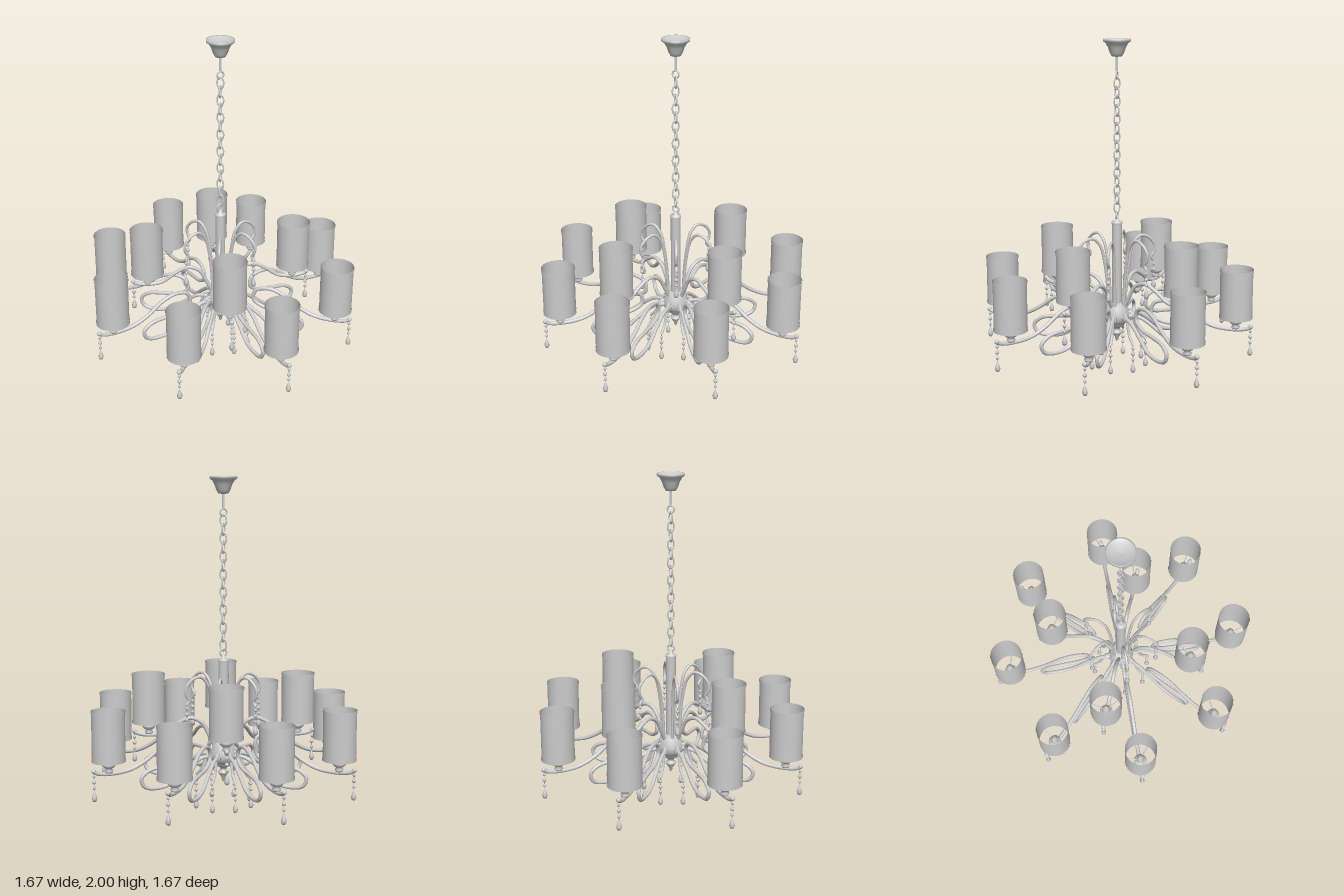
import * as THREE from 'three';

const solid = new THREE.MeshStandardMaterial({ color: 0xcccccc });
const thin = new THREE.MeshStandardMaterial({ color: 0xcccccc, side: THREE.DoubleSide });

function add(parent, name, geometry, x = 0, y = 0, z = 0, material = solid) {
  const mesh = new THREE.Mesh(geometry, material);
  mesh.name = name;
  mesh.position.set(x, y, z);
  parent.add(mesh);
  return mesh;
}

// points are [radius, height] pairs, listed from the bottom up
const lathe = (points, sides = 20) =>
  new THREE.LatheGeometry(points.map(p => new THREE.Vector2(p[0], p[1])), sides);

// round bar that follows [radius, height] points in the local x-y plane
function bar(points, radius, segments = 60) {
  const curve = new THREE.CatmullRomCurve3(points.map(p => new THREE.Vector3(p[0], p[1], 0)));
  return new THREE.TubeGeometry(curve, segments, radius, 8);
}

// repeats a part around the vertical axis
function ring(parent, name, count, startDegrees, build) {
  for (let i = 0; i < count; i++) {
    const group = new THREE.Group();
    group.name = name;
    group.rotation.y = -THREE.MathUtils.degToRad(startDegrees + i * 360 / count);
    build(group);
    parent.add(group);
  }
}

const beadGeometry = new THREE.SphereGeometry(0.012, 8, 6);
const wireGeometry = new THREE.CylinderGeometry(0.002, 0.002, 0.13, 5);
const dropGeometry = lathe([[0, 0], [0.011, 0.006], [0.016, 0.02], [0.012, 0.038], [0.004, 0.058], [0, 0.066]], 10);

// string of beads with a teardrop, 0.18 long
function pendant(parent, x, y) {
  add(parent, 'pendantWire', wireGeometry, x, y - 0.065);
  [0.025, 0.06, 0.095].forEach((d, i) => {
    const bead = add(parent, 'crystalBead', beadGeometry, x, y - d);
    if (i !== 1) bead.scale.set(0.75, 0.9, 0.75);
  });
  add(parent, 'crystalDrop', dropGeometry, x, y - 0.18);
}

const cupGeometry = lathe([[0, -0.035], [0.022, -0.033], [0.026, -0.022], [0.016, -0.01], [0.03, -0.002],
  [0.04, 0.01], [0.04, 0.022], [0.028, 0.034], [0.02, 0.036], [0.02, 0.1], [0, 0.102]]);
const shadeGeometry = new THREE.CylinderGeometry(0.098, 0.098, 0.3, 40, 1, true);
const bandGeometry = new THREE.CylinderGeometry(0.101, 0.101, 0.014, 40, 1, true);
const spokeGeometry = new THREE.CylinderGeometry(0.003, 0.003, 0.08, 6).rotateZ(Math.PI / 2).translate(0.058, 0, 0);

// cup, socket and open drum shade; y is the shade's bottom edge
function lamp(parent, x, y) {
  const group = new THREE.Group();
  group.name = 'lamp';
  group.position.set(x, y, 0);
  add(group, 'lampCup', cupGeometry, 0, -0.035);
  add(group, 'shade', shadeGeometry, 0, 0.15, 0, thin);
  for (const h of [0.007, 0.293]) add(group, 'shadeBand', bandGeometry, 0, h, 0, thin);
  for (let i = 0; i < 3; i++) {
    add(group, 'shadeSpoke', spokeGeometry, 0, 0.02).rotation.y = 0.35 + i * Math.PI * 2 / 3;
  }
  parent.add(group);
}

export function createModel() {
  const model = new THREE.Group();
  model.name = 'chandelier';

  // ceiling canopy and its stem
  add(model, 'canopy', lathe([[0, 1.895], [0.03, 1.9], [0.042, 1.92], [0.052, 1.95], [0.066, 1.975],
    [0.082, 1.987], [0.082, 2], [0.074, 2], [0.05, 1.985], [0, 1.98]], 32), 0, 0, 0, thin);
  add(model, 'canopyStem', new THREE.CylinderGeometry(0.008, 0.008, 0.09, 10), 0, 1.86);

  // chain of alternating oval links between two end rings
  const ringGeometry = new THREE.TorusGeometry(0.021, 0.005, 8, 20);
  add(model, 'topRing', ringGeometry, 0, 1.79);
  add(model, 'bottomRing', ringGeometry, 0, 0.95);
  const linkGeometry = new THREE.TorusGeometry(0.02, 0.0045, 8, 18).scale(1, 1.65, 1);
  const links = 15;
  for (let i = 0; i < links; i++) {
    const link = add(model, 'chainLink', linkGeometry, 0, 1.742 - i * (1.742 - 0.998) / (links - 1));
    link.rotation.y = i % 2 ? Math.PI / 4 : -Math.PI / 4;
  }

  // central column with cap
  add(model, 'column', lathe([[0.03, 0.38], [0.03, 0.895], [0.033, 0.897], [0.033, 0.91],
    [0.014, 0.915], [0.01, 0.935], [0, 0.94]], 24));

  // hub bowl and finial
  add(model, 'hub', lathe([[0, 0.265], [0.05, 0.268], [0.07, 0.285], [0.08, 0.31], [0.08, 0.34],
    [0.07, 0.355], [0.066, 0.385], [0.05, 0.4], [0, 0.402]], 28));
  add(model, 'finial', lathe([[0, 0.15], [0.008, 0.158], [0.012, 0.18], [0.03, 0.205], [0.034, 0.215],
    [0.02, 0.225], [0.02, 0.24], [0.045, 0.255], [0.05, 0.27]], 20));

  // eight long S-curved arms with the lower lamps
  const lowerArm = bar([[0.07, 0.32], [0.15, 0.31], [0.24, 0.25], [0.33, 0.18], [0.43, 0.158], [0.51, 0.175],
    [0.53, 0.225], [0.48, 0.27], [0.38, 0.287], [0.28, 0.3], [0.215, 0.345], [0.23, 0.41], [0.31, 0.433],
    [0.4, 0.405], [0.5, 0.335], [0.6, 0.29], [0.73, 0.278], [0.8, 0.288], [0.825, 0.302]], 0.012, 110);
  const collar = new THREE.CylinderGeometry(0.018, 0.018, 0.025, 12).rotateZ(Math.PI / 2);
  const hook = bar([[0.06, 0.345], [0.1, 0.335], [0.12, 0.285], [0.14, 0.225], [0.17, 0.19], [0.182, 0.178]], 0.009, 24);
  const tip = new THREE.SphereGeometry(0.014, 10, 8);
  ring(model, 'lowerArm', 8, 0, arm => {
    add(arm, 'armBar', lowerArm);
    add(arm, 'armCollar', collar, 0.09, 0.32);
    add(arm, 'armTip', tip, 0.822, 0.302);
    lamp(arm, 0.73, 0.355);
    pendant(arm, 0.82, 0.298);
    add(arm, 'hook', hook);
    pendant(arm, 0.18, 0.18);
  });

  // four shorter arms with the upper lamps
  const upperArm = bar([[0.05, 0.37], [0.085, 0.44], [0.13, 0.52], [0.2, 0.55], [0.28, 0.515],
    [0.36, 0.46], [0.45, 0.447], [0.52, 0.458], [0.545, 0.472]], 0.012, 60);
  ring(model, 'upperArm', 4, 21.5, arm => {
    add(arm, 'armBar', upperArm);
    add(arm, 'armTip', tip, 0.542, 0.472);
    lamp(arm, 0.452, 0.525);
    pendant(arm, 0.54, 0.46);
  });

  // six tall decorative arches around the column
  const arch = bar([[0.055, 0.37], [0.06, 0.5], [0.078, 0.66], [0.105, 0.765], [0.15, 0.812], [0.2, 0.8],
    [0.242, 0.75], [0.24, 0.705], [0.222, 0.675], [0.237, 0.648]], 0.009, 60);
  ring(model, 'arch', 6, 0, group => {
    add(group, 'archBar', arch);
    pendant(group, 0.237, 0.65);
  });

  return model;
}
